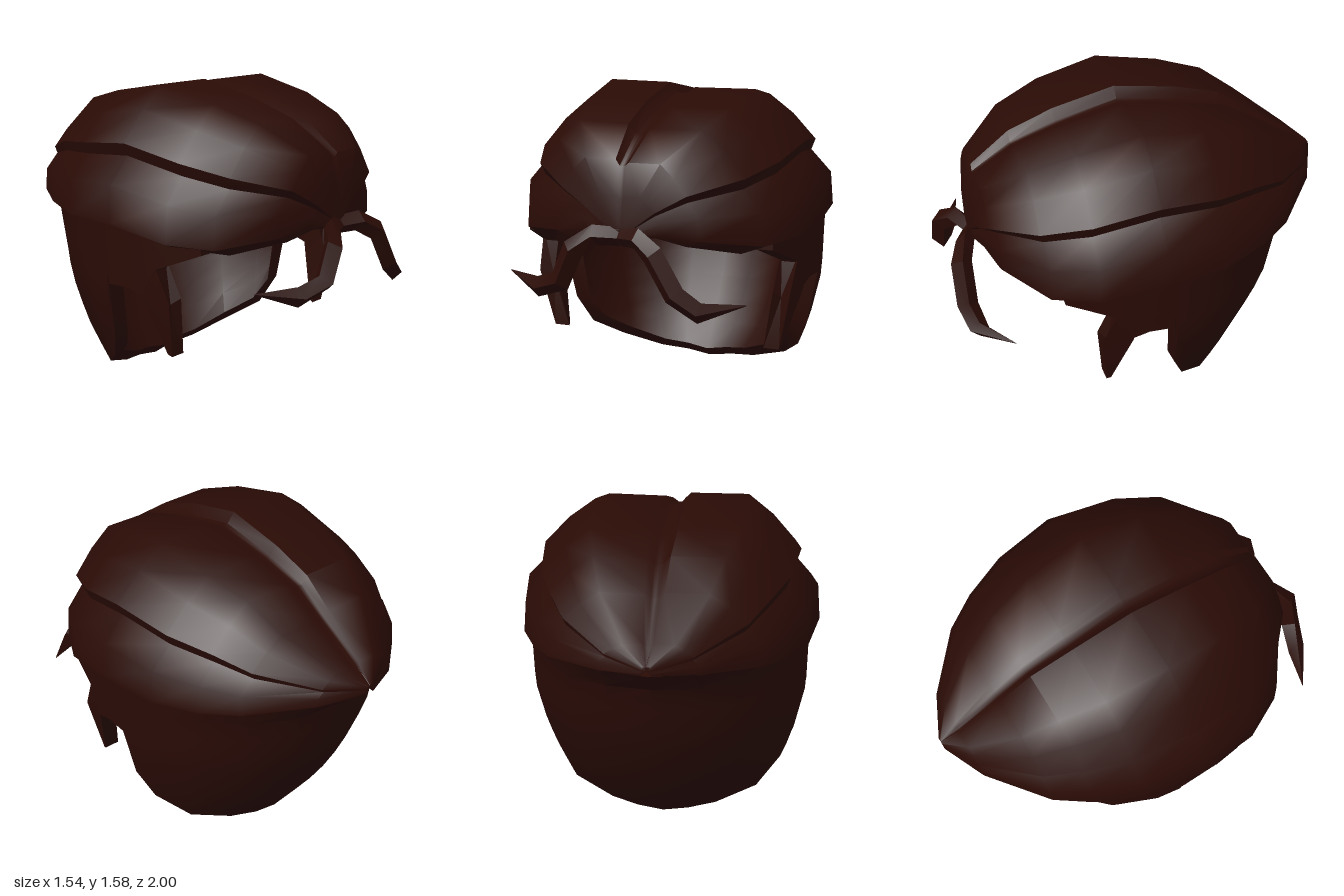
import * as THREE from 'three';
import { toCreasedNormals } from 'three/addons/utils/BufferGeometryUtils.js';

const material = new THREE.MeshStandardMaterial({ color: 0x2a0b05, side: THREE.DoubleSide });

// Skin a row of closed rings (arrays of [x, y, z]) and close both ends
function loft(name, rings, crease) {
  const n = rings[0].length;
  const pos = rings.flat(2);
  const index = [];
  for (let i = 0; i < rings.length - 1; i++) {
    for (let j = 0; j < n; j++) {
      const a = i * n + j, b = i * n + (j + 1) % n;
      index.push(a, b, a + n, b, b + n, a + n);
    }
  }
  [0, rings.length - 1].forEach((r, end) => {
    const centre = [0, 1, 2].map(k => rings[r].reduce((s, p) => s + p[k], 0) / n);
    const c = pos.length / 3;
    pos.push(...centre);
    for (let j = 0; j < n; j++) {
      const a = r * n + j, b = r * n + (j + 1) % n;
      if (end) index.push(c, a, b); else index.push(c, b, a);
    }
  });
  // turn the faces outward if the enclosed volume is negative
  const v = i => new THREE.Vector3(pos[i * 3], pos[i * 3 + 1], pos[i * 3 + 2]);
  let volume = 0;
  for (let i = 0; i < index.length; i += 3) {
    volume += v(index[i]).dot(v(index[i + 1]).cross(v(index[i + 2])));
  }
  if (volume < 0) index.reverse();
  const geo = new THREE.BufferGeometry();
  geo.setAttribute('position', new THREE.Float32BufferAttribute(pos, 3));
  geo.setIndex(index);
  const mesh = new THREE.Mesh(toCreasedNormals(geo, crease), material);
  mesh.name = name;
  return mesh;
}

// Layered cap: [z, half width, top y, lower edge y, lead of the upper panel] from brow to tail
const stations = [
  [0.85, 0.05, 0.98, 0.93, 0], [0.82, 0.2, 1.13, 0.945, 0.015], [0.78, 0.37, 1.29, 0.92, 0.02],
  [0.59, 0.62, 1.43, 0.88, 0.01], [0.37, 0.73, 1.51, 0.895, 0], [0.05, 0.77, 1.578, 0.95, 0],
  [-0.27, 0.72, 1.52, 0.94, 0], [-0.5, 0.62, 1.455, 0.955, 0], [-0.67, 0.51, 1.335, 0.98, 0],
  [-0.9, 0.24, 1.17, 1.03, 0], [-1, 0.03, 1.1, 1.06, 0],
];
// half section as fractions of width and height: parting, two panels, then the hollow inside
const section = [
  [0.035, 0.915], [0.09, 0.995], [0.51, 1], [0.69, 0.83], [0.86, 0.6], [0.83, 0.5], [0.98, 0.3],
  [1, 0], [0.82, -0.08], [0.77, 0.03], [0.65, 0.48], [0.38, 0.78],
];

function buildCap() {
  const rings = stations.map(([z, w, top, low, lead]) => {
    const half = (side, drop) => section.map(([g, f], i) => [
      side * w * g, low + (top - low) * f * (i > 0 && i < 7 ? drop : 1), z + (i < 5 ? lead : -lead),
    ]);
    const parting = [0, low + (top - low) * 0.91, z + lead];
    const ceiling = [0, low + (top - low) * 0.82, z - lead];
    return [parting, ...half(1, 0.965), ceiling, ...half(-1, 1).reverse()];
  });
  return loft('cap', rings, 0.8);
}

// Body of the hanging hair: [y, half width, depth to the back]
const body = [
  [0, 0.42, 0.37], [0.11, 0.57, 0.455], [0.22, 0.61, 0.535], [0.35, 0.66, 0.615],
  [0.6, 0.715, 0.74], [0.9, 0.72, 0.815], [1.05, 0.72, 0.97],
];

// Point on the body: angle 0 is the side, 90 the back, negative the front
function onBody(angle, y, scale = 1) {
  let i = 0;
  while (i < body.length - 2 && y > body[i + 1][0]) i++;
  const [y0, a0, b0] = body[i], [y1, a1, b1] = body[i + 1];
  const t = (y - y0) / (y1 - y0);
  const a = THREE.MathUtils.lerp(a0, a1, t), b = THREE.MathUtils.lerp(b0, b1, t);
  const r = THREE.MathUtils.degToRad(angle);
  if (angle < 0) return [a * scale * Math.cos(r * 0.8), y, -0.95 * Math.sin(r)];
  return [a * scale * Math.cos(r), y, -b * scale * Math.sin(r)];
}

// Closed ring through the thickness of one column of [angle, y] points
function columnRing(points, lift) {
  const outer = points.map(([a, y]) => onBody(a, y));
  const inner = points.map(([a, y], i) => {
    const p = onBody(a, y, 0.87);
    p[1] += lift * i / (points.length - 1);
    return p;
  });
  return [...outer, ...inner.reverse()];
}

const mirrorRing = ring => ring.map(([x, y, z]) => [-x, y, z]);

function buildBackHair() {
  // [top angle, top y, bottom angle, bottom y, lift of the inner rim]
  const columns = [
    [-33, 0.91, -33, 0.85, 0], [-17, 0.93, -17, 0.75, 0], [-12, 0.95, -12, 0.61, 0],
    [-7, 0.95, -7, 0.635, 0], [1, 0.95, 1, 0.63, 0], [1.5, 0.95, 3, 0.36, 0], [14, 0.95, 11, 0.21, 0.04],
    [31, 0.97, 33, 0.11, 0.05], [53, 1, 55, 0.04, 0.05], [72, 1.02, 73, 0.02, 0.05], [90, 1.03, 90, 0, 0.05],
  ];
  const rows = 8;
  const half = columns.map(([a0, y0, a1, y1, lift]) => {
    const points = [];
    for (let i = 0; i <= rows; i++) {
      points.push([THREE.MathUtils.lerp(a0, a1, i / rows), THREE.MathUtils.lerp(y0, y1, i / rows)]);
    }
    return columnRing(points, lift);
  });
  return loft('backHair', [...half, ...half.slice(0, -1).reverse().map(mirrorRing)], 0.55);
}

// Pointed lock in front of each ear
function buildSideburn(name, mirrored) {
  const rings = [
    [[-16, 0.8], [-21.6, 0.6], [-19.2, 0.3]],
    [[-10, 0.8], [-12, 0.6], [-17.8, 0.31]],
  ].map(points => columnRing(points, 0));
  return loft(name, mirrored ? rings.map(mirrorRing) : rings, 0.4);
}

// Curled forelock: a tapering four-sided strand
function buildForelock(name, path) {
  const radii = [0.045, 0.05, 0.055, 0.055, 0.05, 0.002];
  const rings = path.map(([x, y, z], i) => {
    const p = path[Math.max(i - 1, 0)], q = path[Math.min(i + 1, path.length - 1)];
    const n = new THREE.Vector2(p[1] - q[1], q[0] - p[0]).normalize().multiplyScalar(radii[i]);
    const d = radii[i] * 0.95;
    return [[x + n.x, y + n.y, z], [x, y, z + d], [x - n.x, y - n.y, z], [x, y, z - d]];
  });
  return loft(name, rings, 0.4);
}

export function createModel() {
  const group = new THREE.Group();
  group.name = 'hairpiece';
  group.add(
    buildCap(),
    buildBackHair(),
    buildSideburn('leftSideburn', false),
    buildSideburn('rightSideburn', true),
    buildForelock('leftForelock', [
      [0, 0.93, 0.83], [0.1, 0.94, 0.88], [0.2, 0.88, 0.925], [0.31, 0.7, 0.93], [0.42, 0.62, 0.9], [0.6, 0.64, 0.76],
    ]),
    buildForelock('rightForelock', [
      [0, 0.93, 0.83], [-0.11, 0.94, 0.88], [-0.19, 0.88, 0.945], [-0.26, 0.72, 0.945], [-0.4, 0.67, 0.9], [-0.6, 0.71, 0.8],
    ]),
  );
  return group;
}
